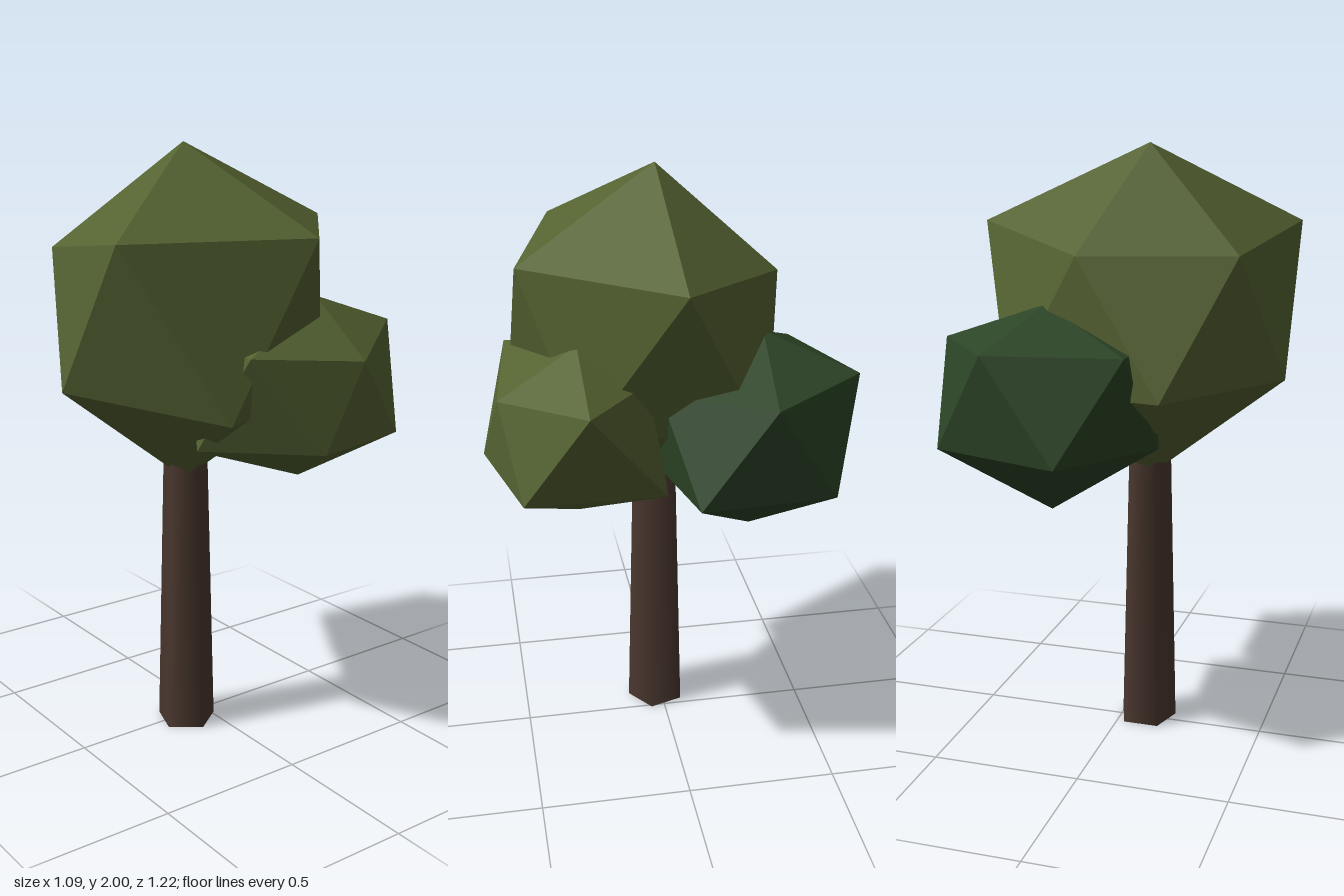
import * as THREE from 'three';

// Uneven 20-sided foliage clump: top point, two staggered rings of five, bottom point.
// Rings run anticlockwise seen from above, starting at +x.
function clump(name, material, top, upper, lower, bottom) {
  const pos = [];
  const face = (...corners) => corners.forEach((c) => pos.push(...c));
  for (let i = 0; i < 5; i++) {
    const j = (i + 1) % 5;
    face(top, upper[i], upper[j]);
    face(upper[i], lower[i], upper[j]);
    face(lower[i], lower[j], upper[j]);
    face(bottom, lower[j], lower[i]);
  }
  const geo = new THREE.BufferGeometry();
  geo.setAttribute('position', new THREE.Float32BufferAttribute(pos, 3));
  geo.computeVertexNormals(); // unshared corners give flat facets
  const mesh = new THREE.Mesh(geo, material);
  mesh.name = name;
  return mesh;
}

export function createModel() {
  const bark = new THREE.MeshStandardMaterial({ color: 0x4b382f });
  bark.name = 'bark brown';
  const olive = new THREE.MeshStandardMaterial({ color: 0x556332 });
  olive.name = 'olive leaf';
  const dark = new THREE.MeshStandardMaterial({ color: 0x2c4526 });
  dark.name = 'dark green leaf';

  const tree = new THREE.Group();
  tree.name = 'tree';

  // Tapered five-sided trunk, smooth shaded
  const trunk = new THREE.Mesh(new THREE.CylinderGeometry(0.077, 0.1025, 1, 5), bark);
  trunk.position.set(-0.0875, 0.5, 0.0175);
  trunk.name = 'trunk';
  tree.add(trunk);

  // Large crown
  tree.add(clump('crown', olive, [-0.09, 2, 0.015],
    [[0.48, 1.74, 0.01], [0.04, 1.67, -0.36], [-0.44, 1.67, -0.22], [-0.54, 1.74, 0.32], [0.08, 1.73, 0.48]],
    [[0.31, 1.22, -0.26], [-0.245, 1.24, -0.43], [-0.55, 1.25, 0.01], [-0.26, 1.2, 0.5], [0.26, 1.22, 0.3]],
    [-0.09, 0.89, 0.015]));

  // Small clump at the front
  tree.add(clump('frontClump', olive, [0.22, 1.52, 0.31],
    [[0.54, 1.41, 0.31], [0.27, 1.4, 0.1], [-0.16, 1.4, 0.15], [-0.2, 1.4, 0.51], [0.21, 1.35, 0.56]],
    [[0.41, 1.08, 0.06], [0.04, 1.08, 0.02], [-0.25, 1.08, 0.31], [0.02, 1.09, 0.605], [0.41, 1.08, 0.505]],
    [0.16, 0.93, 0.31]));

  // Dark clump at the back
  tree.add(clump('backClump', dark, [0.16, 1.51, -0.29],
    [[0.52, 1.385, -0.255], [0.27, 1.39, -0.58], [-0.145, 1.38, -0.455], [-0.145, 1.38, -0.06], [0.27, 1.36, 0.06]],
    [[0.47, 1.06, -0.465], [0.03, 1.06, -0.61], [-0.2, 1.06, -0.26], [0.05, 1.06, 0.07], [0.49, 1.055, -0.03]],
    [0.16, 0.83, -0.26]));

  return tree;
}
